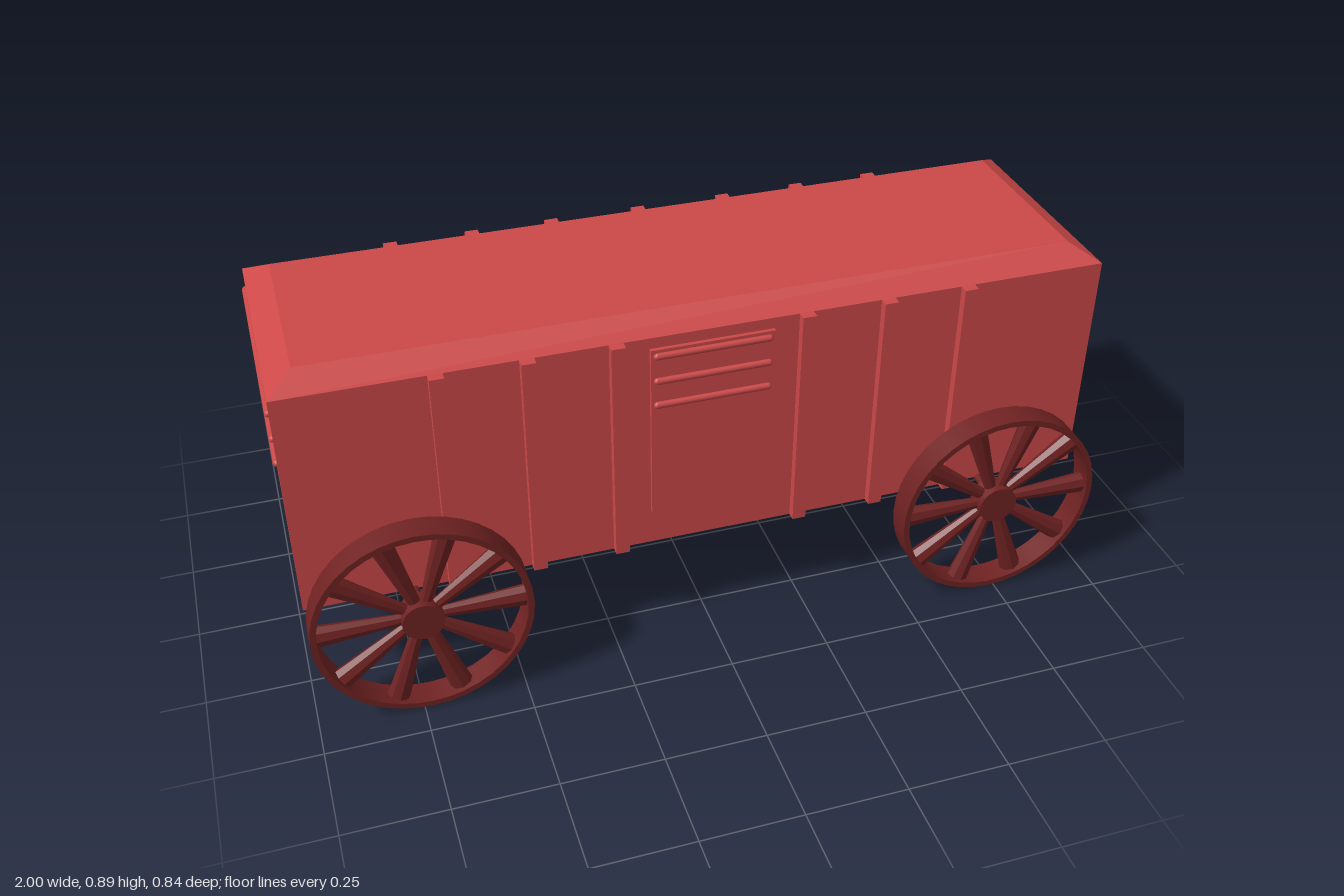
import * as THREE from 'three';

const red = new THREE.MeshStandardMaterial({ color: 0xcc4848 });
const darkRed = new THREE.MeshStandardMaterial({ color: 0x702222 });
const spokeRed = new THREE.MeshStandardMaterial({ color: 0x702222, flatShading: true });

const FLOOR = 0.268, EAVE = 0.856, TOP = 0.892;
const HALF_L = 0.993, HALF_W = 0.296;
const WHEEL_R = 0.261, WHEEL_W = 0.066;

function add(parent, name, geometry, material, x = 0, y = 0, z = 0) {
  const mesh = new THREE.Mesh(geometry, material);
  mesh.name = name;
  mesh.position.set(x, y, z);
  parent.add(mesh);
  return mesh;
}

// Hipped roof: a thin box whose top corners are drawn inwards
function roofGeometry() {
  const g = new THREE.BoxGeometry(HALF_L * 2, TOP - EAVE, HALF_W * 2);
  const p = g.attributes.position;
  for (let i = 0; i < p.count; i++) {
    if (p.getY(i) > 0) {
      p.setX(i, Math.sign(p.getX(i)) * (HALF_L - 0.062));
      p.setZ(i, Math.sign(p.getZ(i)) * (HALF_W - 0.063));
    }
  }
  g.computeVertexNormals();
  return g;
}

// Ring extruded to the wheel's width, with straight inner and outer walls
function rimGeometry() {
  const inner = WHEEL_R - 0.015, h = WHEEL_W / 2;
  const section = [[inner, -h], [WHEEL_R, -h], [WHEEL_R, h], [inner, h], [inner, -h]];
  const parts = [];
  for (let i = 0; i < 4; i++) {
    const pts = [section[i], section[i + 1]].map(([r, y]) => new THREE.Vector2(r, y));
    parts.push(new THREE.LatheGeometry(pts, 40).rotateX(Math.PI / 2));
  }
  return parts;
}

function createWheel() {
  const wheel = new THREE.Group();
  wheel.name = 'wheel';
  for (const g of rimGeometry()) add(wheel, 'rim', g, darkRed);
  add(wheel, 'hub', new THREE.CylinderGeometry(0.05, 0.05, 0.054, 24).rotateX(Math.PI / 2), darkRed);
  // Spokes widen towards the rim
  const inner = 0.03, outer = WHEEL_R - 0.008;
  const spoke = new THREE.CylinderGeometry(0.029, 0.014, outer - inner, 8);
  spoke.scale(1, 1, 0.8).translate(0, (outer + inner) / 2, 0);
  for (let i = 0; i < 10; i++) {
    add(wheel, 'spoke', spoke, spokeRed).rotation.z = (i / 10) * Math.PI * 2 + Math.PI / 2;
  }
  return wheel;
}

export function createModel() {
  const wagon = new THREE.Group();
  wagon.name = 'wagon';

  // Body and roof
  add(wagon, 'body', new THREE.BoxGeometry(HALF_L * 2, EAVE - FLOOR, HALF_W * 2), red, 0.002, (EAVE + FLOOR) / 2, 0.002);
  add(wagon, 'roof', roofGeometry(), red, 0.002, (EAVE + TOP) / 2, 0.002);

  // Upright ribs; the back has one more where the front has its door
  const rib = new THREE.BoxGeometry(0.034, EAVE - FLOOR, 0.034);
  for (const x of [-0.632, -0.428, -0.224, 0.004, 0.232, 0.436, 0.64]) {
    add(wagon, 'backRib', rib, red, x, (EAVE + FLOOR) / 2, -0.3);
    if (x !== 0.004) add(wagon, 'frontRib', rib, red, x, (EAVE + FLOOR) / 2, 0.303);
  }

  // Door
  add(wagon, 'door', new THREE.BoxGeometry(0.3, 0.462, 0.02), red, 0.004, 0.597, 0.298);

  // Rounded slats on the door and on the right-hand end
  const doorSlat = new THREE.CapsuleGeometry(0.009, 0.27, 4, 10).rotateZ(Math.PI / 2);
  const endSlat = new THREE.CapsuleGeometry(0.009, HALF_W * 2 - 0.05, 4, 10).rotateX(Math.PI / 2);
  for (const y of [0.811, 0.744, 0.678]) {
    add(wagon, 'doorSlat', doorSlat, red, 0.004, y, 0.308);
    add(wagon, 'endSlat', endSlat, red, -0.991, y, 0.002);
  }

  // Axles and wheels
  const axle = new THREE.CylinderGeometry(0.01, 0.01, 0.76, 16).rotateX(Math.PI / 2);
  for (const x of [-0.729, 0.735]) {
    add(wagon, 'axle', axle, darkRed, x, 0.266, 0);
    for (const z of [-0.388, 0.388]) {
      const wheel = createWheel();
      wheel.position.set(x, WHEEL_R, z);
      wagon.add(wheel);
    }
  }
  return wagon;
}
